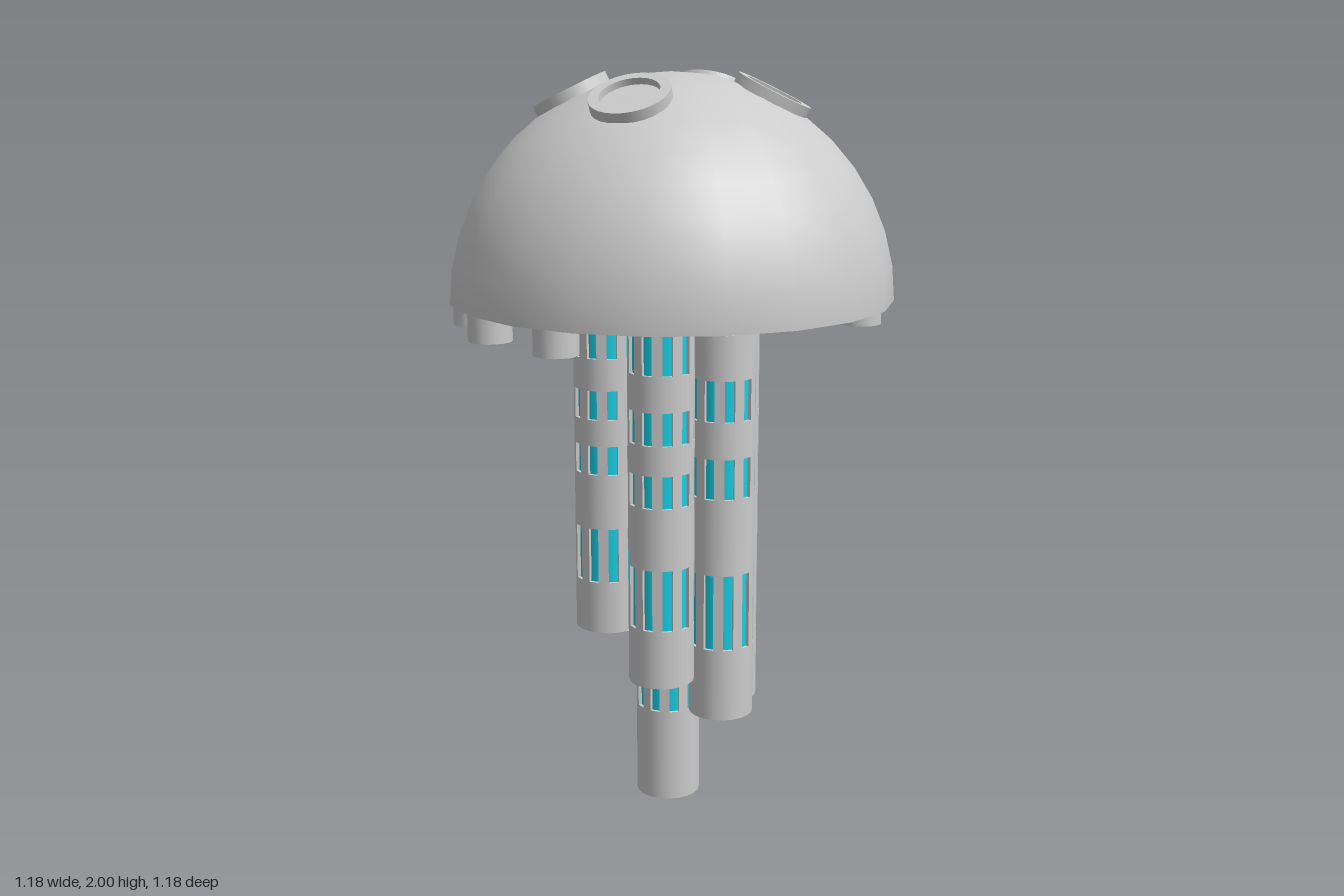
import * as THREE from 'three';
import { mergeGeometries } from 'three/addons/utils/BufferGeometryUtils.js';

const grey = new THREE.MeshStandardMaterial({ color: 0xcccccc });
const greyOpen = new THREE.MeshStandardMaterial({ color: 0xcccccc, side: THREE.DoubleSide });
const glass = new THREE.MeshStandardMaterial({ color: 0x16d0e6, side: THREE.DoubleSide });

const BASE = 1.41;          // height of the dome's underside
const DOME_R = 0.59;
const TUBE_R = 0.088;
const GLASS_R = 0.079;
const SIDES = 20;
const STEP = (Math.PI * 2) / SIDES;
const CENTRE_X = -0.012;    // axis of the tube cluster

function add(parent, name, geometry, material) {
  const mesh = new THREE.Mesh(geometry, material);
  mesh.name = name;
  parent.add(mesh);
  return mesh;
}

// Open cylinder wall between two heights
function wall(radius, y0, y1) {
  return new THREE.CylinderGeometry(radius, radius, y1 - y0, SIDES, 1, true, STEP / 2)
    .translate(0, (y0 + y1) / 2, 0);
}

// Flat ledge closing the gap between the tube wall and the glass
function ledge(y) {
  return new THREE.RingGeometry(GLASS_R, TUBE_R, SIDES, 1, STEP / 2).rotateX(-Math.PI / 2).translate(0, y, 0);
}

// Upright bar between two neighbouring windows
function rib(angle, y0, y1) {
  const shape = new THREE.Shape([[GLASS_R, -1], [TUBE_R, -1], [TUBE_R, 1], [GLASS_R, 1]].map(([r, s]) =>
    new THREE.Vector2(r * Math.cos(angle + s * STEP / 2), r * Math.sin(angle + s * STEP / 2))));
  return new THREE.ExtrudeGeometry(shape, { depth: y1 - y0, bevelEnabled: false })
    .rotateX(-Math.PI / 2).translate(0, y0, 0);
}

// Hollow tower with four rows of recessed windows; rows stretch with the tower
function makeTower(bottom, scale) {
  const tower = new THREE.Group();
  tower.name = 'tower';
  const bands = [[0.2, 0.41], [0.62, 0.73], [0.83, 0.94], [1.06, 1.27]]
    .map(b => b.map(v => Math.min(bottom + v * scale, BASE)));
  const walls = [], ribs = [], panes = [];
  let from = bottom;
  for (const [y0, y1] of bands) {
    if (y1 - y0 < 0.005) continue;
    walls.push(wall(TUBE_R, from, y0), ledge(y0), ledge(y1));
    panes.push(wall(GLASS_R, y0, y1));
    for (let i = 0; i < SIDES / 2; i++) ribs.push(rib(STEP * (2 * i + 1), y0, y1));
    from = y1;
  }
  if (BASE - from > 0.005) walls.push(wall(TUBE_R, from, BASE));
  add(tower, 'towerWall', mergeGeometries(walls), greyOpen);
  add(tower, 'windowBars', mergeGeometries(ribs), grey);
  add(tower, 'windows', mergeGeometries(panes), glass);
  return tower;
}

// Raised round hatch: a rim with a sunken disc, lying along +y
function makeHatch() {
  const hatch = new THREE.Group();
  hatch.name = 'hatch';
  const rim = [[0.078, -0.03], [0.105, -0.03], [0.105, 0.012], [0.078, 0.012], [0.078, -0.03]];
  // Each straight run is its own lathe so the edges stay sharp
  const runs = rim.slice(1).map((p, i) =>
    new THREE.LatheGeometry([new THREE.Vector2(...rim[i]), new THREE.Vector2(...p)], 28));
  add(hatch, 'hatchRim', mergeGeometries(runs), greyOpen);
  add(hatch, 'hatchDisc', new THREE.CylinderGeometry(0.079, 0.079, 0.02, 28).translate(0, -0.016, 0), grey);
  return hatch;
}

export function createModel() {
  const model = new THREE.Group();
  model.name = 'domedStation';

  // Dome and its flat underside
  const dome = add(model, 'dome', new THREE.SphereGeometry(DOME_R, SIDES, 10, 0, Math.PI * 2, 0, Math.PI / 2), grey);
  const floor = add(model, 'domeUnderside', new THREE.CircleGeometry(DOME_R, SIDES).rotateX(Math.PI / 2), grey);
  for (const part of [dome, floor]) {
    part.position.y = BASE;
    part.rotation.y = 0.025;
  }

  // Four hatches near the crown, each facing straight out of the dome
  const up = new THREE.Vector3(0, 1, 0);
  for (const [x, z] of [[-0.218, -0.152], [0.215, -0.16], [-0.207, 0.158], [0.22, 0.149]]) {
    const out = new THREE.Vector3(x, Math.sqrt(0.36 - x * x - z * z), z).normalize();
    const hatch = makeHatch();
    hatch.position.copy(out).multiplyScalar(0.594);
    hatch.position.y += BASE;
    hatch.quaternion.setFromUnitVectors(up, out);
    model.add(hatch);
  }

  // Central tower with six shorter ones around it: bottom height, row stretch
  const centre = makeTower(0, 1.3);
  centre.name = 'centralTower';
  centre.position.set(CENTRE_X, 0, 0.002);
  model.add(centre);
  const ring = [[0.26, 1], [0.28, 1], [0.4, 0.8], [0.52, 0.71], [0.5, 0.73], [0.335, 0.925]];
  ring.forEach(([bottom, scale], i) => {
    const a = THREE.MathUtils.degToRad(5 + 60 * i);
    const tower = makeTower(bottom, scale);
    tower.position.set(CENTRE_X + 0.178 * Math.cos(a), 0, 0.002 + 0.178 * Math.sin(a));
    model.add(tower);
  });

  // Short hollow nozzles under the rim, three on each side
  for (const side of [-1, 1]) {
    for (const deg of [-29, 0, 29]) {
      const a = THREE.MathUtils.degToRad(deg);
      const nozzle = add(model, 'nozzle', wall(0.057, 1.34, BASE), greyOpen);
      nozzle.position.set(CENTRE_X + side * 0.515 * Math.cos(a), 0, 0.515 * Math.sin(a));
    }
  }
  return model;
}
